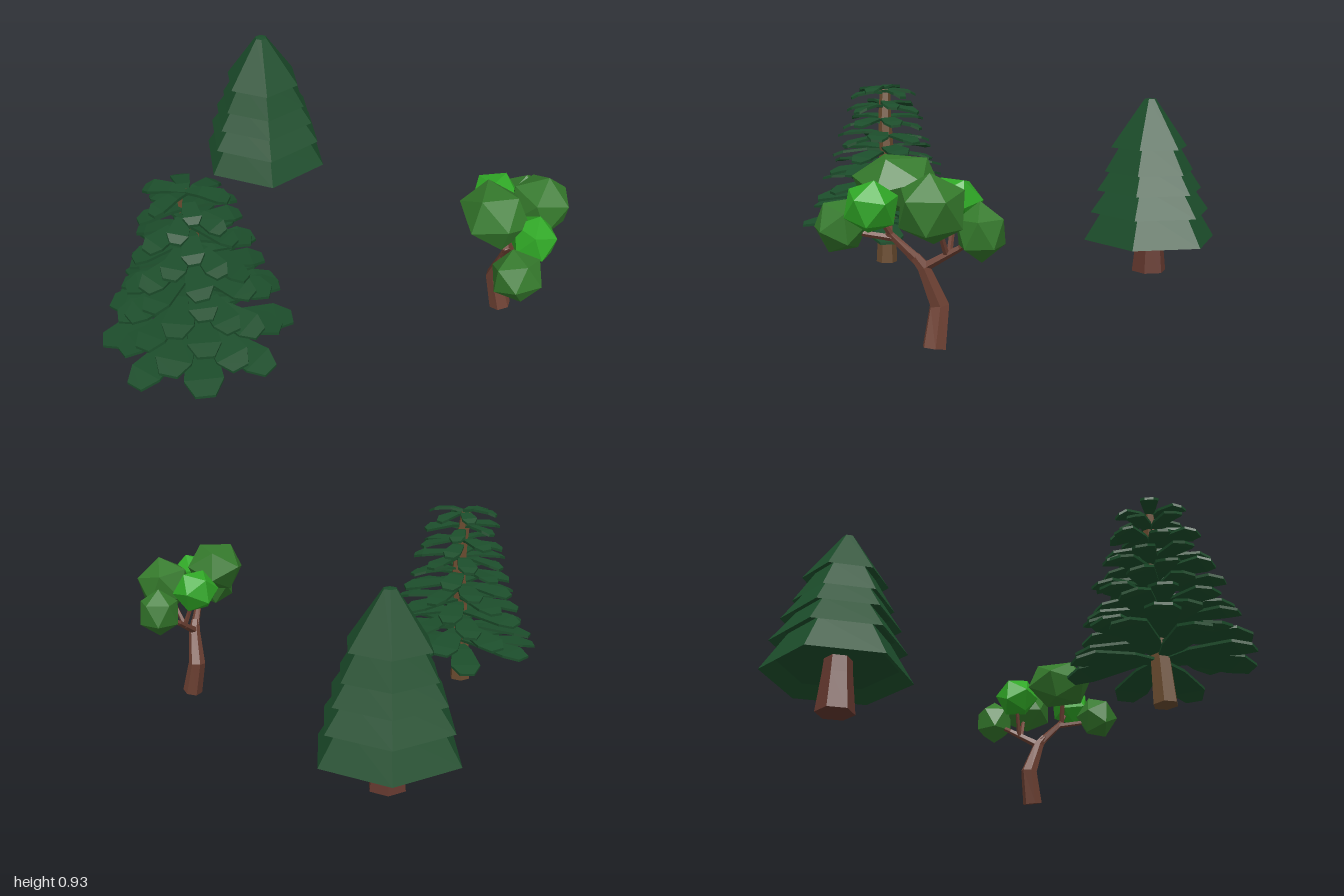
import * as THREE from 'three';

const mat = (color) => new THREE.MeshStandardMaterial({ color, flatShading: true });
const V = (x, y, z) => new THREE.Vector3(x, y, z);

function addMesh(parent, name, geometry, material) {
  const mesh = new THREE.Mesh(geometry, material);
  mesh.name = name;
  parent.add(mesh);
  return mesh;
}

// Skin a list of equal-sized rings (counter-clockwise about the axis) and cap both ends
function loft(rings) {
  const pos = [];
  const tri = (...points) => points.forEach((p) => pos.push(p.x, p.y, p.z));
  const n = rings[0].length;
  for (let k = 0; k < rings.length - 1; k++) {
    const a = rings[k], b = rings[k + 1];
    for (let i = 0; i < n; i++) {
      const j = (i + 1) % n;
      tri(a[i], a[j], b[i]);
      tri(a[j], b[j], b[i]);
    }
  }
  const first = rings[0], last = rings[rings.length - 1];
  for (let i = 1; i < n - 1; i++) {
    tri(first[0], first[i + 1], first[i]);
    tri(last[0], last[i], last[i + 1]);
  }
  const g = new THREE.BufferGeometry();
  g.setAttribute('position', new THREE.Float32BufferAttribute(pos, 3));
  g.computeVertexNormals();
  return g;
}

// Tapering limb through stations [x, y, z, radius]
function limb(stations, sides, ref) {
  const centres = stations.map(([x, y, z]) => V(x, y, z));
  const end = centres.length - 1;
  return loft(stations.map((s, k) => {
    const t = centres[Math.min(k + 1, end)].clone().sub(centres[Math.max(k - 1, 0)]).normalize();
    const n = ref.clone().addScaledVector(t, -ref.dot(t)).normalize();
    const b = t.clone().cross(n);
    return Array.from({ length: sides }, (_, i) => {
      const a = (i / sides) * Math.PI * 2;
      return centres[k].clone()
        .addScaledVector(n, Math.cos(a) * s[3])
        .addScaledVector(b, Math.sin(a) * s[3]);
    });
  }));
}

// Thin bough, unit length along +x: [along, half width, height]
function boughGeometry() {
  const h = 0.02;
  const sections = [[0, 0.05, 0], [0.35, 0.14, 0.03], [0.82, 0.2, 0], [1, 0.1, -0.05]];
  return loft(sections.map(([x, w, y]) => [
    V(x, y + h, w), V(x, y - h, w), V(x, y - h, -w), V(x, y + h, -w),
  ]));
}

function createOpenConifer() {
  const tree = new THREE.Group();
  tree.name = 'openConifer';
  addMesh(tree, 'openConiferTrunk', limb([
    [-0.617, 0.02, 0.585, 0.052], [-0.615, 0.22, 0.58, 0.043], [-0.605, 0.42, 0.585, 0.038],
    [-0.59, 0.6, 0.575, 0.035], [-0.6, 0.75, 0.58, 0.032], [-0.617, 0.895, 0.575, 0.026],
  ], 6, V(0, 0, 1)), mat(0x6b4c30));

  // Tiers of boughs shrink toward the top
  const boughs = new THREE.Group();
  boughs.name = 'boughs';
  tree.add(boughs);
  const geometry = boughGeometry(), green = mat(0x1c4d2b);
  const tiers = 10;
  for (let k = 0; k < tiers; k++) {
    const f = k / (tiers - 1);
    const count = k < 5 ? 8 : k < 8 ? 7 : 6;
    for (let i = 0; i < count; i++) {
      const wobble = Math.sin(i * 2.4 + k * 1.7);
      const length = (0.4 - 0.235 * Math.pow(f, 0.85)) * (0.98 + 0.04 * wobble);
      const bough = addMesh(boughs, 'bough', geometry, green);
      bough.position.set(-0.603, 0.225 + 0.665 * f + 0.012 * wobble, 0.587);
      bough.rotation.set(0.12 * Math.sin(i * 3.1 + k), (i / count) * Math.PI * 2 + k * 0.42, 0.04 * wobble - 0.02, 'YXZ');
      bough.scale.set(length, 0.3, length * (0.95 + 0.2 * f));
    }
  }
  return tree;
}

function createLayeredConifer() {
  const tree = new THREE.Group();
  tree.name = 'layeredConifer';
  tree.position.set(-0.17, 0, -0.665);
  addMesh(tree, 'layeredConiferTrunk',
    limb([[0, 0.035, 0, 0.084], [0, 0.2, 0, 0.066], [0, 0.4, 0, 0.05]], 6, V(0, 0, 1)), mat(0x65392f));

  // Hexagonal skirts: [rim radius, rim height, top radius, top height, offset in z]
  const green = mat(0x1c4d2b);
  [
    [0.322, 0.197, 0.215, 0.37, 0], [0.292, 0.33, 0.19, 0.47, 0], [0.258, 0.435, 0.165, 0.57, 0.004],
    [0.218, 0.525, 0.13, 0.67, 0.008], [0.187, 0.64, 0.028, 0.867, 0.01],
  ].forEach(([r, y, rTop, yTop, z]) => {
    const profile = [[0.04, y + 0.08], [r * 0.8, y + 0.05], [r, y], [rTop, yTop], [0, yTop + 0.003]];
    addMesh(tree, 'skirt', new THREE.LatheGeometry(profile.map(([a, b]) => new THREE.Vector2(a, b)), 6), green)
      .position.z = z;
  });
  return tree;
}

function createLeafyTree() {
  const tree = new THREE.Group();
  tree.name = 'leafyTree';
  const bark = mat(0x6f4234);
  addMesh(tree, 'leafyTreeTrunk', limb([
    [0.757, 0.005, 0.45, 0.048], [0.725, 0.165, 0.425, 0.041], [0.738, 0.32, 0.485, 0.027],
    [0.735, 0.36, 0.515, 0.021],
  ], 6, V(1, 0, 0)), bark);

  // Forking branches reaching into the foliage
  [
    [[0.735, 0.34, 0.5, 0.022], [0.72, 0.45, 0.61, 0.015], [0.65, 0.6, 0.6, 0.01]],
    [[0.722, 0.43, 0.59, 0.014], [0.69, 0.445, 0.7, 0.012], [0.67, 0.47, 0.79, 0.009]],
    [[0.72, 0.44, 0.6, 0.013], [0.76, 0.56, 0.67, 0.009]],
    [[0.738, 0.32, 0.48, 0.02], [0.79, 0.4, 0.35, 0.013], [0.88, 0.47, 0.28, 0.009]],
    [[0.77, 0.37, 0.4, 0.012], [0.86, 0.55, 0.45, 0.009]],
    [[0.77, 0.37, 0.39, 0.012], [0.71, 0.54, 0.36, 0.009]],
  ].forEach((path) => addMesh(tree, 'branch', limb(path, 5, V(1, 0, 0)), bark));

  // Faceted foliage clumps: [x, y, z, radius x, radius y, radius z, colour]
  const green = mat(0x357a2c), bright = mat(0x30a826);
  [
    [0.63, 0.625, 0.572, 0.145, 0.125, 0.175, green],
    [0.868, 0.565, 0.46, 0.138, 0.138, 0.138, green],
    [0.873, 0.475, 0.282, 0.103, 0.115, 0.102, green],
    [0.705, 0.56, 0.36, 0.11, 0.105, 0.11, bright],
    [0.765, 0.56, 0.675, 0.1, 0.105, 0.108, bright],
    [0.668, 0.475, 0.788, 0.112, 0.112, 0.106, green],
  ].forEach(([x, y, z, rx, ry, rz, material], i) => {
    const g = new THREE.IcosahedronGeometry(1, 0);
    g.rotateX(i * 0.9 + 0.3).rotateY(i * 1.3).scale(rx, ry, rz).computeVertexNormals();
    addMesh(tree, 'foliageClump', g, material).position.set(x, y, z);
  });
  return tree;
}

export function createModel() {
  const model = new THREE.Group();
  model.name = 'treeSet';
  model.add(createOpenConifer(), createLayeredConifer(), createLeafyTree());
  return model;
}
